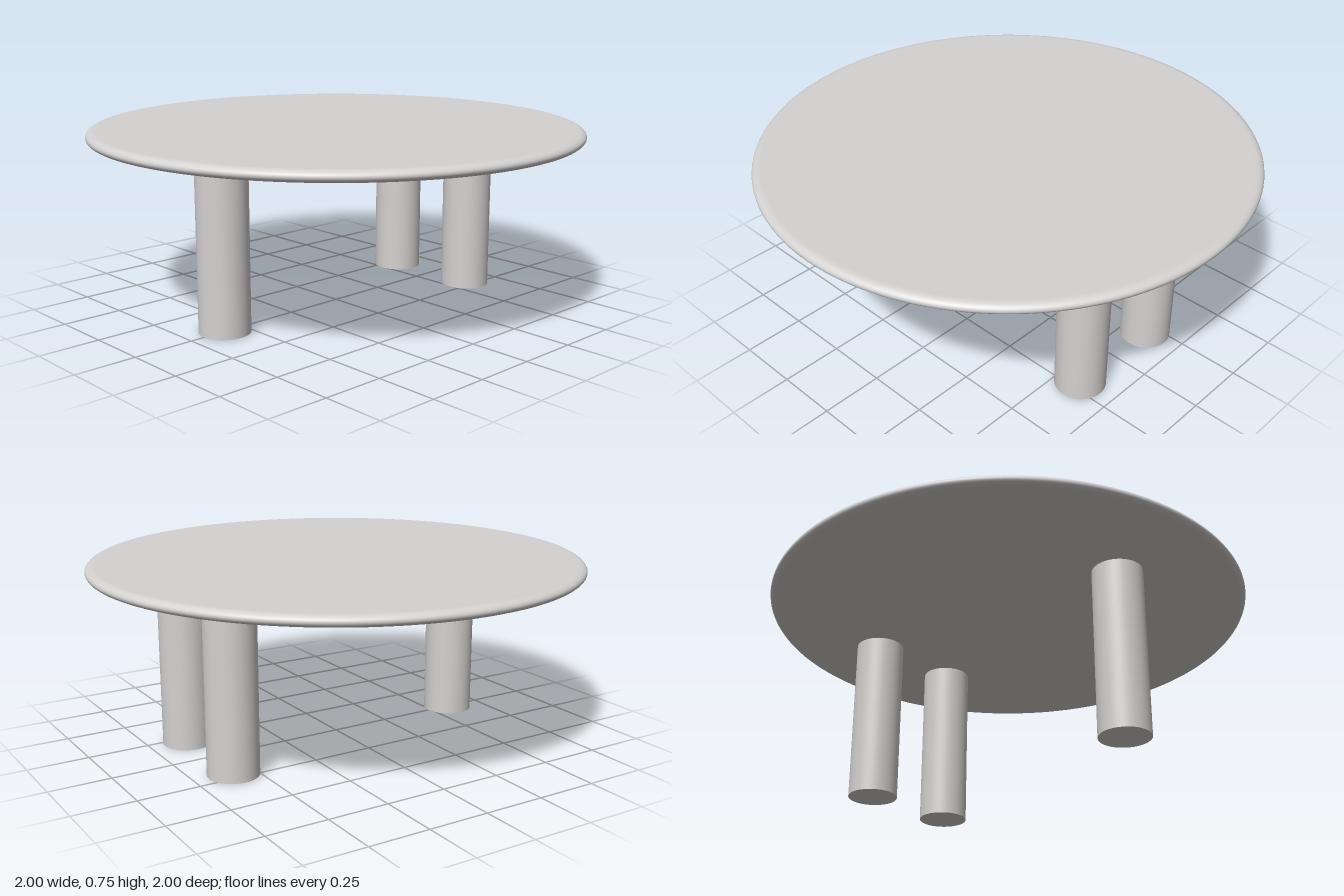
import * as THREE from 'three';

export function createModel() {
  const table = new THREE.Group();
  table.name = 'roundTable';
  const stone = new THREE.MeshStandardMaterial({ color: 0xd4d2d0 });
  stone.name = 'pale warm grey';

  const bottom = 0.705, top = 0.75;

  // Table top: flat disc with a soft, elliptical rim
  const rimWidth = 0.035, half = (top - bottom) / 2, mid = (top + bottom) / 2;
  const profile = [new THREE.Vector2(0, bottom), new THREE.Vector2(0.96, bottom)];
  const steps = 16;
  for (let i = 0; i <= steps; i++) {
    const a = -Math.PI / 2 + (Math.PI * i) / steps;
    profile.push(new THREE.Vector2(1 - rimWidth + rimWidth * Math.cos(a), mid + half * Math.sin(a)));
  }
  profile.push(new THREE.Vector2(0.96, top), new THREE.Vector2(0, top));
  const tableTop = new THREE.Mesh(new THREE.LatheGeometry(profile, 128), stone);
  tableTop.name = 'tableTop';
  table.add(tableTop);

  // Three column legs: a pair on one side, a single one opposite
  const legRadius = 0.102;
  const legGeometry = new THREE.CylinderGeometry(legRadius, legRadius, bottom, 64);
  const legs = [
    ['frontLeftLeg', 0.59, 0.205],
    ['backLeftLeg', 0.59, -0.205],
    ['rightLeg', -0.59, 0],
  ];
  for (const [name, x, z] of legs) {
    const leg = new THREE.Mesh(legGeometry, stone);
    leg.name = name;
    leg.position.set(x, bottom / 2, z);
    table.add(leg);
  }
  return table;
}
